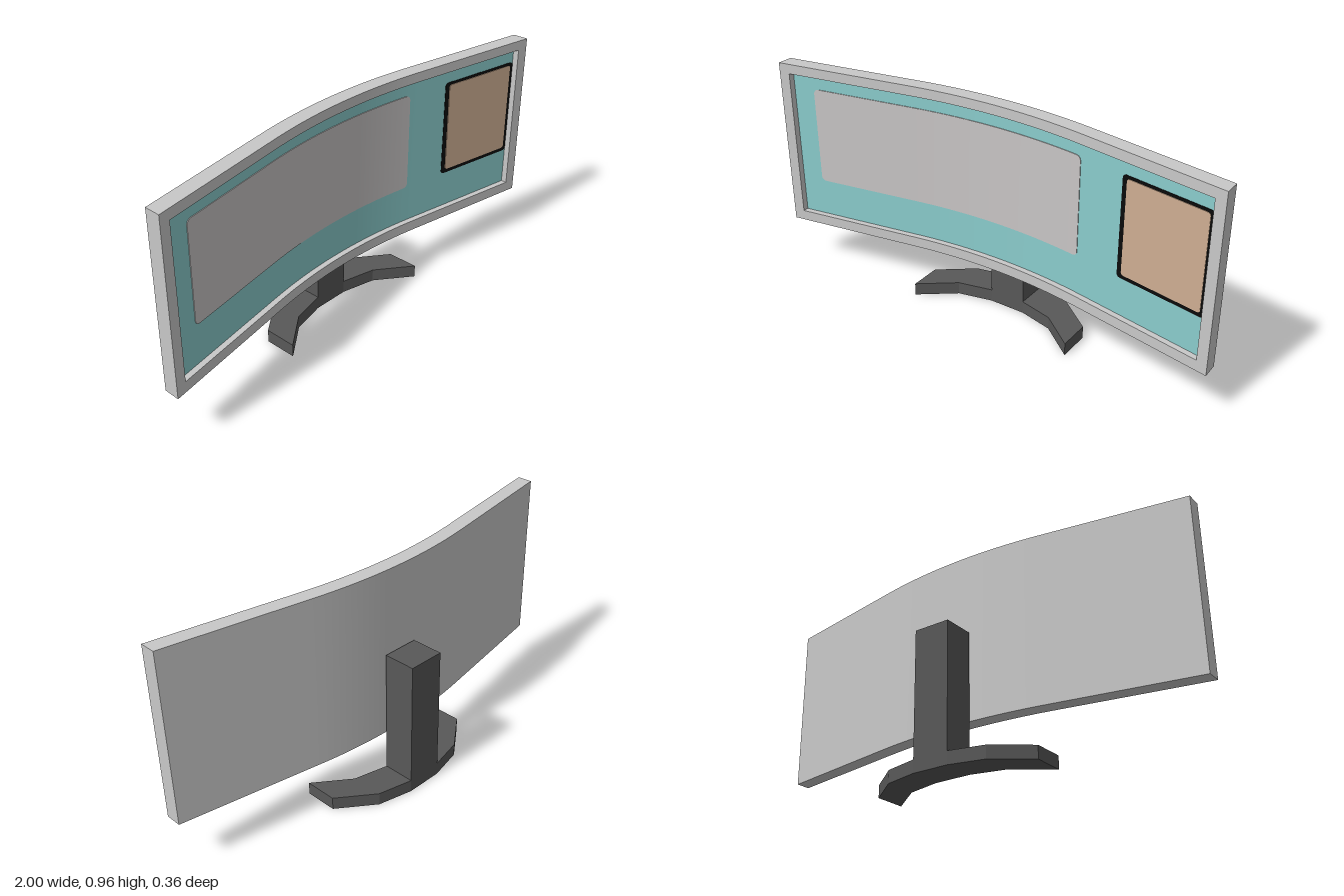
import * as THREE from 'three';

const mat = (name, color) => {
  const m = new THREE.MeshStandardMaterial({ color });
  m.name = name;
  return m;
};

// Plan curve of the monitor's back: a parabola in the middle, straight wings
function backZ(x) {
  const a = Math.abs(x);
  return a < 0.4 ? -0.03 + 0.225 * a * a : 0.006 + 0.18 * (a - 0.4);
}

// A slab that follows the curve, from depth d0 to d1 in front of the back.
// A radius r rounds its four corners.
function curvedSlab(name, material, [x0, x1], [y0, y1], [d0, d1], r = 0) {
  const geo = new THREE.BoxGeometry(2, 2, 1, 48, 1, 1);
  const p = geo.attributes.position;
  const cx = (x0 + x1) / 2, hx = (x1 - x0) / 2;
  const cy = (y0 + y1) / 2, hy = (y1 - y0) / 2;
  for (let i = 0; i < p.count; i++) {
    const u = p.getX(i);
    const dx = hx * (r ? Math.sin(u * Math.PI / 2) : u); // dense ends for round corners
    const over = Math.max(0, Math.abs(dx) - (hx - r));
    const h = hy - (r - Math.sqrt(Math.max(0, r * r - over * over)));
    const x = cx + dx;
    p.setXYZ(i, x, cy + p.getY(i) * h, backZ(x) + (p.getZ(i) < 0 ? d0 : d1));
  }
  geo.computeVertexNormals();
  const mesh = new THREE.Mesh(geo, material);
  mesh.name = name;
  return mesh;
}

export function createModel() {
  const casing = mat('light grey casing', 0xc8c8c8);
  const teal = mat('teal screen', 0x8acccc);
  const pale = mat('pale grey window', 0xc8c5c5);
  const tan = mat('tan window', 0xceae92);
  const black = mat('black outline', 0x0a0a0a);
  const dark = mat('dark grey stand', 0x585858);

  const model = new THREE.Group();
  model.name = 'curvedMonitor';

  // Casing: a back shell and a raised bezel on four sides
  const display = new THREE.Group();
  display.name = 'display';
  const B = 0.22, T = 0.957, b = 0.265, t = 0.915, w = 0.955;
  const rim = [0.04, 0.067];
  display.add(
    curvedSlab('backShell', casing, [-1, 1], [B, T], [0, 0.04]),
    curvedSlab('bezelTop', casing, [-1, 1], [t, T], rim),
    curvedSlab('bezelBottom', casing, [-1, 1], [B, b], rim),
    curvedSlab('bezelRight', casing, [-1, -w], [b, t], rim),
    curvedSlab('bezelLeft', casing, [w, 1], [b, t], rim),
    // Screen and the windows shown on it
    curvedSlab('screen', teal, [-w, w], [b, t], [0.039, 0.042]),
    curvedSlab('wideWindow', pale, [-0.86, 0.38], [0.43, 0.855], [0.04, 0.045], 0.02),
    curvedSlab('smallWindowOutline', black, [0.572, 0.954], [0.428, 0.855], [0.04, 0.0435], 0.015),
    curvedSlab('smallWindow', tan, [0.592, 0.938], [0.445, 0.843], [0.04, 0.046], 0.012)
  );
  model.add(display);

  // Stand: an upright post on a faceted curved foot
  const stand = new THREE.Group();
  stand.name = 'stand';
  const post = new THREE.Mesh(new THREE.BoxGeometry(0.16, 0.545, 0.14), dark);
  post.name = 'post';
  post.position.set(0, 0.3255, -0.11);
  stand.add(post);

  const rear = [[-0.38, -0.03], [-0.23, -0.145], [-0.08, -0.18],
    [0.08, -0.18], [0.23, -0.145], [0.38, -0.03]];
  const front = rear.map(([x, z]) => [x, z + 0.14]).reverse();
  const outline = new THREE.Shape([...rear, ...front].map(([x, z]) => new THREE.Vector2(x, -z)));
  const footGeo = new THREE.ExtrudeGeometry(outline, { depth: 0.055, bevelEnabled: false });
  footGeo.rotateX(-Math.PI / 2);
  const foot = new THREE.Mesh(footGeo, dark);
  foot.name = 'foot';
  stand.add(foot);
  model.add(stand);

  return model;
}
